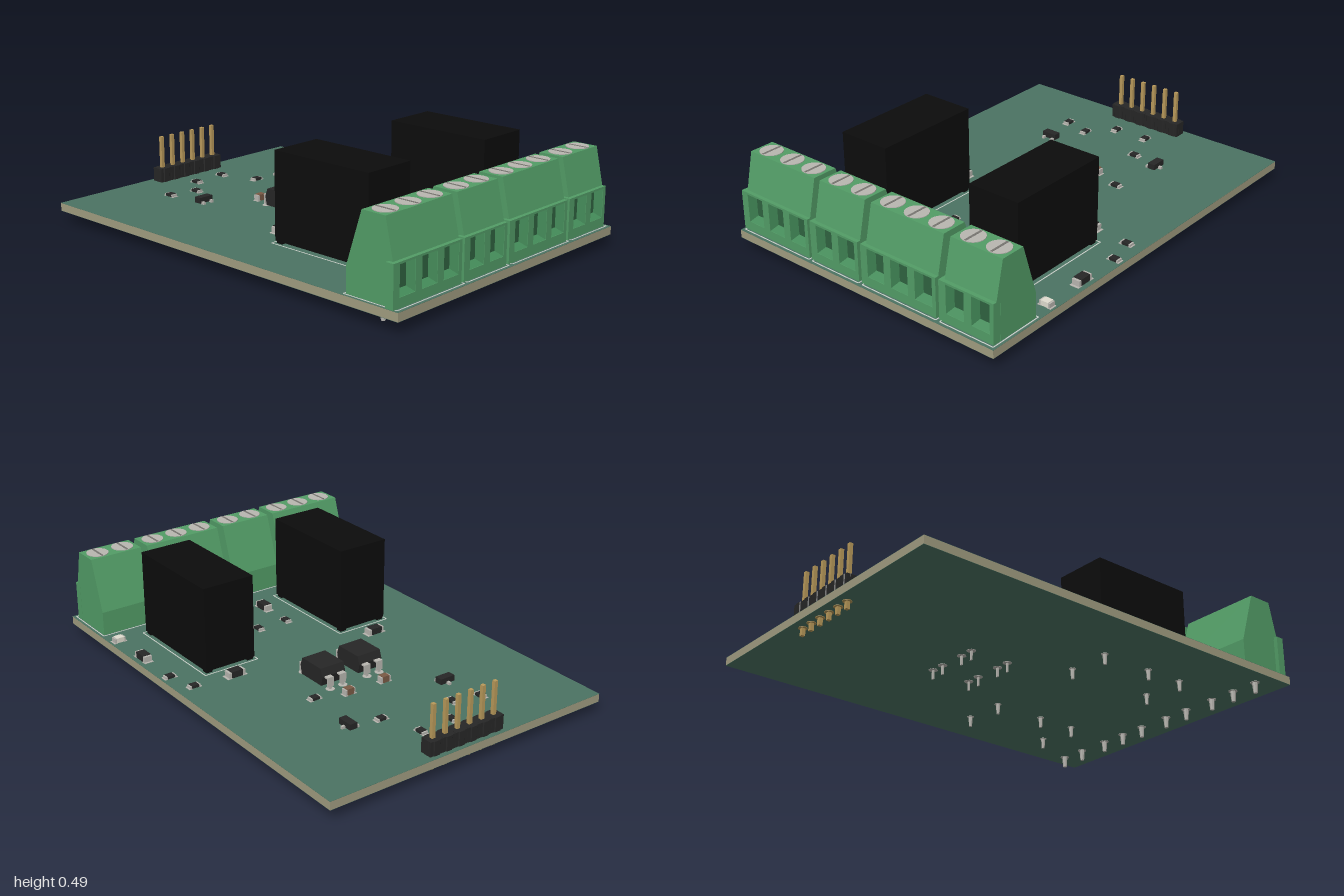
import * as THREE from 'three';

const mat = (color, side = THREE.FrontSide) => new THREE.MeshStandardMaterial({ color, side, flatShading: true });
const M = {
  mask: mat(0x4b7362), edge: mat(0xa09c80), silk: mat(0xc8cfc8), black: mat(0x0c0c0c), plastic: mat(0x262626),
  green: mat(0x529c66), greenBoth: mat(0x438a58, THREE.DoubleSide), darkGreen: mat(0x2f6340),
  steel: mat(0xb8b6b0), gold: mat(0xb8995a), brown: mat(0x7a5a45), lens: mat(0xe0dccf), slot: mat(0x777570)
};
const TOP = 0.089, BOTTOM = 0.051, PITCH = 0.127;

function add(parent, name, geometry, material, x = 0, y = 0, z = 0) {
  const mesh = new THREE.Mesh(geometry, material);
  mesh.name = name;
  mesh.position.set(x, y, z);
  parent.add(mesh);
  return mesh;
}
// Box given by its extents on every axis
function box(parent, name, material, x0, x1, y0, y1, z0, z1) {
  return add(parent, name, new THREE.BoxGeometry(x1 - x0, y1 - y0, z1 - z0), material,
    (x0 + x1) / 2, (y0 + y1) / 2, (z0 + z1) / 2);
}
function group(parent, name, x = 0, y = 0, z = 0, turn = 0) {
  const g = new THREE.Group();
  g.name = name;
  g.position.set(x, y, z);
  g.rotation.y = turn;
  parent.add(g);
  return g;
}
// Thin printed rectangle on the board
function outline(parent, x0, x1, z0, z1) {
  const w = 0.005, y0 = TOP, y1 = TOP + 0.001;
  for (const z of [z0, z1]) box(parent, 'outline', M.silk, x0, x1, y0, y1, z - w / 2, z + w / 2);
  for (const x of [x0, x1]) box(parent, 'outline', M.silk, x - w / 2, x + w / 2, y0, y1, z0, z1);
}
// Pin below the board with its solder ring
function solderPin(parent, x, z, r, y0 = 0.003) {
  add(parent, 'pin', new THREE.CylinderGeometry(r, r * 0.7, BOTTOM - y0, 8), M.steel, x, (BOTTOM + y0) / 2, z);
  add(parent, 'solderPad', new THREE.CylinderGeometry(r * 1.6, r * 1.6, 0.002, 12), M.steel, x, BOTTOM - 0.001, z);
}

// Screw terminal block with n ways, centred on z
function terminal(parent, n, z) {
  const g = group(parent, 'screwTerminal', 0, 0, z), half = n * PITCH / 2;
  const profile = new THREE.Shape([[0.73, TOP], [0.935, TOP], [0.935, 0.255], [0.96, 0.255],
    [0.92, 0.433], [0.805, 0.433], [0.73, 0.2]].map(p => new THREE.Vector2(...p)));
  add(g, 'terminalBody', new THREE.ExtrudeGeometry(profile, { depth: half * 2, bevelEnabled: false }), M.green, 0, 0, -half);

  // Front lip with wire openings, drawn in (-z, y) and turned to face +x
  const lip = new THREE.Shape([[-half - 0.017, TOP], [half, TOP], [half, 0.267], [-half - 0.017, 0.267]]
    .map(p => new THREE.Vector2(...p)));
  for (let i = 0; i < n; i++) {
    const c = (i - (n - 1) / 2) * PITCH;
    lip.holes.push(new THREE.Path([[c - 0.045, 0.13], [c - 0.045, 0.258], [c + 0.045, 0.258], [c + 0.045, 0.13]]
      .map(p => new THREE.Vector2(...p))));
    // Tapered opening
    const funnel = new THREE.CylinderGeometry(Math.SQRT1_2, Math.SQRT1_2 * 0.7, 1, 4, 1, true);
    funnel.rotateY(Math.PI / 4).rotateZ(-Math.PI / 2).scale(0.036, 0.128, 0.09);
    add(g, 'wireFunnel', funnel, M.greenBoth, 0.955, 0.194, c);
    box(g, 'wireOpening', M.darkGreen, 0.934, 0.939, 0.148, 0.24, c - 0.033, c + 0.033);
    // Screw on top
    add(g, 'screw', new THREE.CylinderGeometry(0.05, 0.05, 0.03, 24), M.steel, 0.864, 0.421, c);
    box(g, 'screwSlot', M.slot, 0.817, 0.911, 0.434, 0.437, c - 0.005, c + 0.005);
    solderPin(g, 0.86, c, 0.013, 0);
  }
  const front = new THREE.ExtrudeGeometry(lip, { depth: 0.038, bevelEnabled: false });
  add(g, 'terminalLip', front.rotateY(Math.PI / 2), M.green, 0.937, 0, 0);
  outline(g, 0.722, 0.985, -half - 0.006, half + 0.006);
}

function relay(parent, x, z) {
  const g = group(parent, 'relay', x, 0, z);
  box(g, 'relayCase', M.black, -0.255, 0.255, 0.1, 0.486, -0.124, 0.124);
  for (const sx of [-1, 1]) for (const sz of [-1, 1])
    box(g, 'relayFoot', M.black, sx * 0.235 - 0.015, sx * 0.235 + 0.015, TOP, 0.1, sz * 0.105 - 0.015, sz * 0.105 + 0.015);
  for (const [px, pz] of [[-0.22, -0.1], [-0.22, 0.1], [0.035, 0.1], [0.225, -0.1], [0.225, 0.1]])
    solderPin(g, px, pz, 0.01);
  outline(g, -0.265, 0.265, -0.135, 0.135);
}

// Four-legged optocoupler with bevelled sides
function optocoupler(parent, z) {
  const g = group(parent, 'optocoupler', -0.2, 0, z);
  const profile = new THREE.Shape([[-0.07, 0.1], [0.07, 0.1], [0.078, 0.142], [0.065, 0.178], [-0.065, 0.178], [-0.078, 0.142]]
    .map(p => new THREE.Vector2(...p)));
  add(g, 'chipBody', new THREE.ExtrudeGeometry(profile, { depth: 0.12, bevelEnabled: false }), M.plastic, 0, 0, -0.06);
  for (const s of [-1, 1]) for (const pz of [-0.033, 0.033]) {
    const leg = group(g, 'chipLeg', 0, 0, pz, s > 0 ? 0 : Math.PI);
    box(leg, 'shoulder', M.steel, 0.07, 0.1, 0.137, 0.144, -0.016, 0.016);
    box(leg, 'upperLeg', M.steel, 0.094, 0.1, 0.1, 0.144, -0.016, 0.016);
    box(leg, 'lowerLeg', M.steel, 0.094, 0.1, 0.008, 0.1, -0.006, 0.006);
    for (const y of [TOP, BOTTOM])
      add(leg, 'pad', new THREE.CylinderGeometry(0.02, 0.02, 0.003, 12), M.steel, 0.097, y, 0);
  }
}

// Two-ended surface part lying along x, turned when upright is set
function chip(parent, name, material, length, width, height, x, z, upright) {
  const g = group(parent, name, x, TOP, z, upright ? Math.PI / 2 : 0), l = length / 2, w = width / 2;
  box(g, 'body', material, -l * 0.7, l * 0.7, 0.001, height, -w, w);
  for (const s of [-1, 1]) {
    const e = group(g, 'endCap', 0, 0, 0, s > 0 ? 0 : Math.PI);
    box(e, 'cap', M.steel, l * 0.62, l, 0, height * 0.9, -w * 0.95, w * 0.95);
    box(e, 'pad', M.steel, l * 0.6, l * 1.25, 0, 0.002, -w * 1.1, w * 1.1);
  }
}

function transistor(parent, x, z, turn) {
  const g = group(parent, 'transistor', x, TOP, z, turn);
  box(g, 'body', M.plastic, -0.037, 0.037, 0.004, 0.03, -0.018, 0.018);
  for (const [px, s] of [[-0.024, 1], [0.024, 1], [0, -1]])
    box(g, 'leg', M.steel, px - 0.006, px + 0.006, 0, 0.012, s > 0 ? 0.014 : -0.034, s > 0 ? 0.034 : -0.014);
}

export function createModel() {
  const model = new THREE.Group();
  model.name = 'circuitBoard';

  // Board with a solder mask on both faces
  box(model, 'boardCore', M.edge, -1, 1, BOTTOM + 0.001, TOP - 0.001, -0.702, 0.702);
  box(model, 'topMask', M.mask, -1, 1, TOP - 0.001, TOP, -0.702, 0.702);
  box(model, 'bottomMask', M.mask, -1, 1, BOTTOM, BOTTOM + 0.001, -0.702, 0.702);

  for (const [n, z] of [[2, -0.556], [3, -0.206], [2, 0.145], [3, 0.4935]]) terminal(model, n, z);
  relay(model, 0.382, -0.394);
  relay(model, 0.37, 0.32);
  optocoupler(model, -0.14);
  optocoupler(model, 0.056);

  // Pin header
  const header = group(model, 'pinHeader', -0.95, 0, -0.015);
  for (let i = 0; i < 6; i++) {
    const z = (i - 2.5) * 0.0635;
    const block = new THREE.CylinderGeometry(0.0344, 0.0344, 0.065, 8);
    block.rotateY(Math.PI / 8);
    add(header, 'headerBlock', block, M.plastic, 0, TOP + 0.0325, z);
    box(header, 'headerCore', M.plastic, -0.028, 0.028, TOP, 0.154, z - 0.031, z + 0.031);
    box(header, 'headerPin', M.gold, -0.008, 0.008, 0.016, 0.304, z - 0.008, z + 0.008);
    add(header, 'pad', new THREE.CylinderGeometry(0.02, 0.02, 0.002, 12), M.gold, 0, BOTTOM - 0.001, z);
  }

  // Small surface parts: x, z, upright
  for (const p of [[0.06, -0.623, 1], [0.195, -0.66, 1], [-0.33, -0.28, 1], [-0.63, -0.168, 1], [-0.805, -0.104, 0],
    [-0.8, 0.06, 0], [-0.687, 0.163, 0], [-0.72, 0.29, 0], [0.366, -0.083, 0], [0.366, 0.067, 0]])
    chip(model, 'resistor', M.plastic, 0.05, 0.03, 0.013, ...p);
  for (const p of [[-0.377, -0.137, 1], [-0.377, 0.052, 1]])
    chip(model, 'capacitor', M.brown, 0.05, 0.03, 0.03, ...p);
  for (const p of [[0.415, -0.66, 0], [0.045, -0.425, 1], [0.024, 0.318, 1], [0.543, 0.067, 0]])
    chip(model, 'diode', M.plastic, 0.08, 0.04, 0.03, ...p);
  for (const p of [[0.635, -0.66, 1], [0.53, -0.09, 0]])
    chip(model, 'indicatorLight', M.lens, 0.052, 0.034, 0.024, ...p);
  transistor(model, -0.597, -0.31, 0);
  transistor(model, -0.537, 0.254, Math.PI / 2);

  return model;
}
